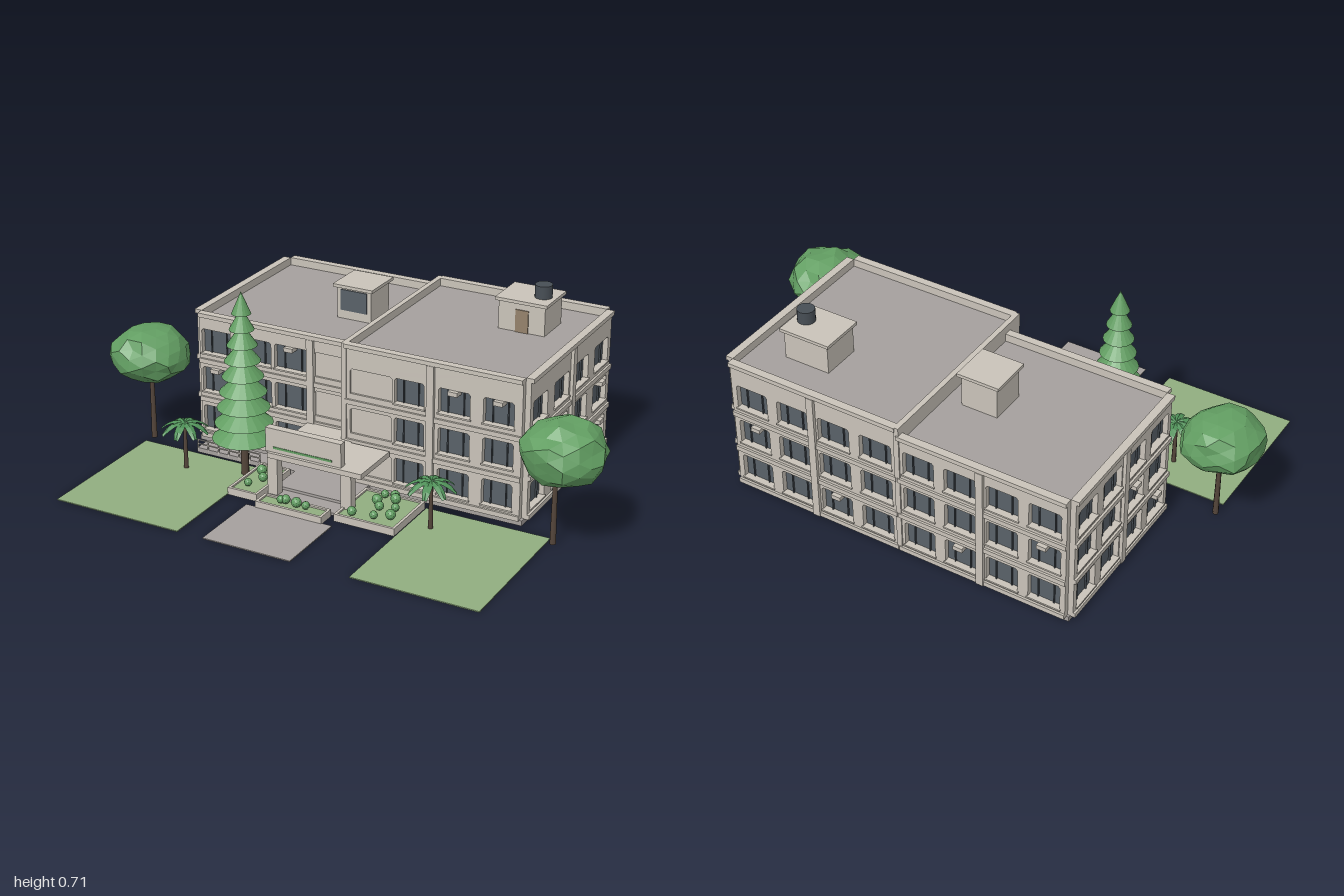
import * as THREE from 'three';

const mat = (name, color, extra = {}) => {
  const m = new THREE.MeshStandardMaterial({ color, ...extra });
  m.name = name;
  return m;
};

export function createModel() {
  const M = {
    wall: mat('wall stone', 0xc9c3b9),
    roof: mat('roof and paving grey', 0xa5a09d),
    glass: mat('window glass', 0x596168),
    metal: mat('dark metal', 0x474e55),
    lawn: mat('lawn green', 0x91ad80),
    leaf: mat('foliage green', 0x629e62, { flatShading: true }),
    palm: mat('palm green', 0x4f9058, { side: THREE.DoubleSide, flatShading: true }),
    trunk: mat('trunk brown', 0x55463b),
    door: mat('door brown', 0x94826c),
  };
  const model = new THREE.Group();
  model.name = 'schoolBuilding';

  const add = (parent, name, geo, material, x = 0, y = 0, z = 0) => {
    const m = new THREE.Mesh(geo, material);
    m.name = name;
    m.position.set(x, y, z);
    parent.add(m);
    return m;
  };
  // Box given by its limits on each axis
  const box = (parent, name, material, x0, x1, y0, y1, z0, z1) =>
    add(parent, name, new THREE.BoxGeometry(x1 - x0, y1 - y0, z1 - z0), material,
      (x0 + x1) / 2, (y0 + y1) / 2, (z0 + z1) / 2);
  const group = (name, x = 0, y = 0, z = 0, parent = model) => {
    const g = new THREE.Group();
    g.name = name;
    g.position.set(x, y, z);
    parent.add(g);
    return g;
  };

  // Facade: wall with window openings, floor ledges and pilasters; local z points outwards
  const rows = [[0.05, 0.147], [0.205, 0.302], [0.358, 0.452]];
  const facade = (name, w, h, bays, pilasters, units = []) => {
    const g = group(name);
    const s = new THREE.Shape();
    s.moveTo(0, 0.018).lineTo(w, 0.018).lineTo(w, h).lineTo(0, h).closePath();
    rows.forEach(([y0, y1]) => bays.forEach(([a, b, blank]) => {
      const p = new THREE.Path(), c = 0.007;
      p.moveTo(a, y0).lineTo(a, y1 - c).lineTo(a + c, y1).lineTo(b - c, y1).lineTo(b, y1 - c).lineTo(b, y0).closePath();
      s.holes.push(p);
      if (blank) box(g, 'blankPanel', M.wall, a, b, y0, y1, 0, 0.012);
      else {
        for (const t of [0.25, 0.75]) {
          const x = a + (b - a) * t;
          box(g, 'windowMullion', M.metal, x - 0.002, x + 0.002, y0, y1, 0, 0.006);
        }
        box(g, 'windowSill', M.wall, a - 0.004, b + 0.004, y0 - 0.006, y0, 0.015, 0.026);
      }
    }));
    add(g, 'facadeWall', new THREE.ExtrudeGeometry(s, { depth: 0.02, bevelEnabled: false }), M.wall);
    for (const y of [0.018, 0.165, 0.318]) box(g, 'floorLedge', M.wall, 0, w, y, y + 0.018, 0.015, 0.028);
    box(g, 'parapetCoping', M.wall, 0, w, h - 0.016, h, 0.01, 0.03);
    for (const x of pilasters) box(g, 'pilaster', M.wall, x - 0.014, x + 0.014, 0.018, h - 0.016, 0.01, 0.032);
    for (const [x, y] of units) box(g, 'airConditioner', M.wall, x - 0.018, x + 0.018, y, y + 0.016, 0, 0.036);
    return g;
  };

  // Wing: glazed core, flat roof and facades on its sides
  const wing = (name, x0, x1, z0, z1, h, sides) => {
    const g = group(name);
    box(g, 'glazedCore', M.glass, x0, x1, 0.02, h - 0.04, z0, z1);
    box(g, 'flatRoof', M.roof, x0, x1, h - 0.04, h - 0.03, z0, z1);
    box(g, 'foundation', M.roof, x0 - 0.01, x1 + 0.01, 0, 0.02, z0 - 0.01, z1 + 0.02);
    const place = {
      front: [x0, z1, 0, x1 - x0], right: [x1, z1, Math.PI / 2, z1 - z0],
      back: [x1, z0, Math.PI, x1 - x0], left: [x0, z0, -Math.PI / 2, z1 - z0],
    };
    for (const [side, [bays, pilasters, units]] of Object.entries(sides)) {
      const [x, z, r, w] = place[side];
      const f = facade(side + 'Facade', w, h, bays, pilasters, units);
      f.position.set(x, 0, z);
      f.rotation.y = r;
      g.add(f);
    }
  };
  const evenBays = (w, n, f = 0.75) => Array.from({ length: n }, (_, i) =>
    [w * (i + (1 - f) / 2) / n, w * (i + (1 + f) / 2) / n]);

  wing('leftWing', -0.67, -0.025, -0.65, -0.005, 0.515, {
    front: [[[0.01, 0.14], [0.17, 0.305], [0.32, 0.46], [0.485, 0.62, true]], [0.155, 0.472], [[0.07, 0.288], [0.385, 0.436]]],
    left: [evenBays(0.645, 4), [0.3225], [[0.4, 0.288], [0.56, 0.132]]],
    back: [evenBays(0.645, 4), [0.3225], [[0.24, 0.132], [0.56, 0.288]]],
  });
  wing('rightWing', -0.02, 0.66, -0.65, 0.065, 0.545, {
    front: [[[0.02, 0.185, true], [0.195, 0.31], [0.365, 0.485], [0.535, 0.65]], [0.337], [[0.425, 0.436], [0.595, 0.436]]],
    right: [[[0.025, 0.145], [0.205, 0.33], [0.38, 0.505], [0.565, 0.69]], [0.355], [[0.265, 0.285], [0.63, 0.285], [0.63, 0.132]]],
    back: [evenBays(0.68, 4), [0.34], [[0.1, 0.288], [0.43, 0.132]]],
  });
  box(model, 'wingPartyWall', M.wall, -0.034, -0.014, 0.02, 0.545, -0.675, 0.09);

  // Rooftop rooms and water tank
  const roofRoom = (name, x0, x1, z0, z1, y0, y1, o) => {
    const g = group(name);
    box(g, 'roomWalls', M.wall, x0, x1, y0, y1 - 0.012, z0, z1);
    box(g, 'roomCap', M.wall, x0 - o, x1 + o, y1 - 0.012, y1, z0 - o, z1 + o);
    return g;
  };
  const a = roofRoom('rooftopStairRoom', -0.237, -0.098, -0.39, -0.25, 0.48, 0.618, 0.012);
  box(a, 'roomWindow', M.glass, -0.222, -0.113, 0.518, 0.598, -0.252, -0.246);
  const b = roofRoom('rooftopPlantRoom', 0.358, 0.538, -0.515, -0.365, 0.51, 0.637, 0.011);
  box(b, 'roomDoor', M.door, 0.425, 0.475, 0.515, 0.6, -0.367, -0.361);
  add(b, 'waterTank', new THREE.CylinderGeometry(0.032, 0.032, 0.048, 20), M.metal, 0.5, 0.661, -0.435);

  // Entrance canopy, sign board, doors and steps
  const entrance = group('entrance');
  box(entrance, 'canopySlab', M.wall, -0.21, 0.165, 0.155, 0.175, 0.1, 0.31);
  box(entrance, 'canopyBackSlab', M.wall, -0.21, 0.01, 0.155, 0.175, 0.01, 0.1);
  box(entrance, 'signBoard', M.wall, -0.222, 0.08, 0.175, 0.265, 0.268, 0.298);
  box(entrance, 'signStripe', M.leaf, -0.19, 0.045, 0.189, 0.197, 0.296, 0.3);
  for (const x of [-0.195, 0.1]) box(entrance, 'canopyColumn', M.wall, x - 0.02, x + 0.02, 0, 0.155, 0.265, 0.3);
  box(entrance, 'porchFloor', M.roof, -0.21, 0.08, 0, 0.02, 0.01, 0.25);
  box(entrance, 'porchStep', M.roof, -0.21, 0.08, 0, 0.01, 0.25, 0.325);
  box(entrance, 'glassDoors', M.glass, -0.175, -0.045, 0.025, 0.15, 0.015, 0.03);
  for (let i = 0; i < 5; i++) {
    const x = -0.175 + i * 0.0325;
    box(entrance, 'doorFrame', M.wall, x - 0.003, x + 0.003, 0.025, 0.15, 0.025, 0.034);
  }
  box(entrance, 'doorTransom', M.wall, -0.175, -0.045, 0.117, 0.122, 0.025, 0.034);

  // Access ramp and its railing
  box(model, 'accessRamp', M.roof, -0.63, -0.21, 0, 0.018, 0.04, 0.115);
  const railing = group('rampRailing');
  for (const y of [0.034, 0.05]) box(railing, 'rail', M.wall, -0.63, -0.36, y - 0.002, y + 0.002, 0.111, 0.115);
  for (let i = 0; i < 7; i++) box(railing, 'railPost', M.wall, -0.63 + i * 0.0445, -0.626 + i * 0.0445, 0.01, 0.05, 0.111, 0.115);

  // Lawns and forecourt
  box(model, 'leftLawn', M.lawn, -0.85, -0.345, 0, 0.004, 0.13, 0.685);
  box(model, 'rightLawn', M.lawn, 0.325, 0.795, 0, 0.004, 0.125, 0.685);
  box(model, 'forecourt', M.roof, -0.243, 0.1, 0, 0.004, 0.4, 0.685);

  // Small seeded value from a position, the same for coincident vertices
  const hash = (x, y, z, seed) => {
    const s = Math.sin(Math.round(x * 1e3) * 12.9898 + Math.round(y * 1e3) * 78.233 + Math.round(z * 1e3) * 37.719 + seed * 9.17) * 43758.5453;
    return s - Math.floor(s);
  };

  // Planters with bushes
  const planter = (x0, x1, z0, z1, bushes) => {
    const g = group('planter');
    const t = 0.01;
    box(g, 'planterSide', M.wall, x0, x0 + t, 0, 0.028, z0, z1);
    box(g, 'planterSide', M.wall, x1 - t, x1, 0, 0.028, z0, z1);
    box(g, 'planterSide', M.wall, x0 + t, x1 - t, 0, 0.028, z0, z0 + t);
    box(g, 'planterSide', M.wall, x0 + t, x1 - t, 0, 0.028, z1 - t, z1);
    box(g, 'planterBed', M.lawn, x0 + t, x1 - t, 0, 0.022, z0 + t, z1 - t);
    bushes.forEach(([x, z], i) => add(g, 'bush', new THREE.IcosahedronGeometry(0.015 + 0.002 * (i % 3), 1), M.leaf, x, 0.04, z));
  };
  planter(-0.205, 0.06, 0.333, 0.405, [[-0.12, 0.37], [-0.105, 0.362], [-0.06, 0.365], [-0.02, 0.37]]);
  planter(0.085, 0.32, 0.125, 0.36, [[0.18, 0.16], [0.215, 0.15], [0.23, 0.175], [0.26, 0.235], [0.205, 0.25],
    [0.27, 0.29], [0.22, 0.32], [0.14, 0.33], [0.175, 0.21]]);
  planter(-0.345, -0.225, 0.125, 0.36, [[-0.29, 0.31], [-0.265, 0.25], [-0.3, 0.2], [-0.26, 0.17]]);

  // Round-crowned trees
  const roundTree = (name, x, z, tx, tz, cy, rx, ry, seed) => {
    const g = group(name);
    add(g, 'trunk', new THREE.CylinderGeometry(0.008, 0.011, 0.27, 7), M.trunk, tx, 0.135, tz);
    const geo = new THREE.IcosahedronGeometry(1, 2);
    const p = geo.attributes.position;
    for (let i = 0; i < p.count; i++) {
      const [X, Y, Z] = [p.getX(i), p.getY(i), p.getZ(i)];
      const k = 0.87 + 0.15 * hash(X, Y, Z, seed);
      p.setXYZ(i, X * k * rx, Y * k * ry * (Y < 0 ? 0.95 : 1), Z * k * rx);
    }
    geo.computeVertexNormals();
    add(g, 'crown', geo, M.leaf, x, cy, z);
  };
  roundTree('leftTree', -0.852, 0.07, -0.845, 0.08, 0.335, 0.152, 0.115, 1);
  roundTree('rightTree', 0.84, 0.145, 0.815, 0.15, 0.345, 0.157, 0.124, 4);

  // Tiered conifer
  const conifer = group('conifer', -0.375, 0, 0.192);
  add(conifer, 'trunk', new THREE.CylinderGeometry(0.012, 0.015, 0.3, 8), M.trunk, 0, 0.15, 0);
  for (let i = 0; i < 9; i++) {
    const y = 0.15 + i * 0.0595, r = 0.117 - i * 0.0102;
    add(conifer, 'branchTier', new THREE.ConeGeometry(r, 0.082, 18), M.leaf, 0, y + 0.041, 0);
  }

  // Small palms with drooping tapered fronds
  for (const x of [-0.59, 0.405]) {
    const g = group('palm', x, 0, 0.252);
    add(g, 'trunk', new THREE.CylinderGeometry(0.006, 0.009, 0.18, 7), M.trunk, 0, 0.09, 0);
    for (let i = 0; i < 8; i++) {
      const geo = new THREE.PlaneGeometry(1, 1, 4, 2).rotateX(-Math.PI / 2);
      const p = geo.attributes.position;
      for (let j = 0; j < p.count; j++) {
        const t = p.getX(j) + 0.5, side = p.getZ(j) * 2;
        const w = 0.004 + 0.012 * Math.sin(Math.PI * Math.min(1, t * 0.9));
        p.setXYZ(j, t * 0.09, 0.185 + 0.03 * t - 0.062 * t * t - 0.005 * Math.abs(side), side * w);
      }
      geo.computeVertexNormals();
      add(g, 'frond', geo, M.palm).rotation.y = i * Math.PI / 4 + 0.2;
    }
  }
  return model;
}
